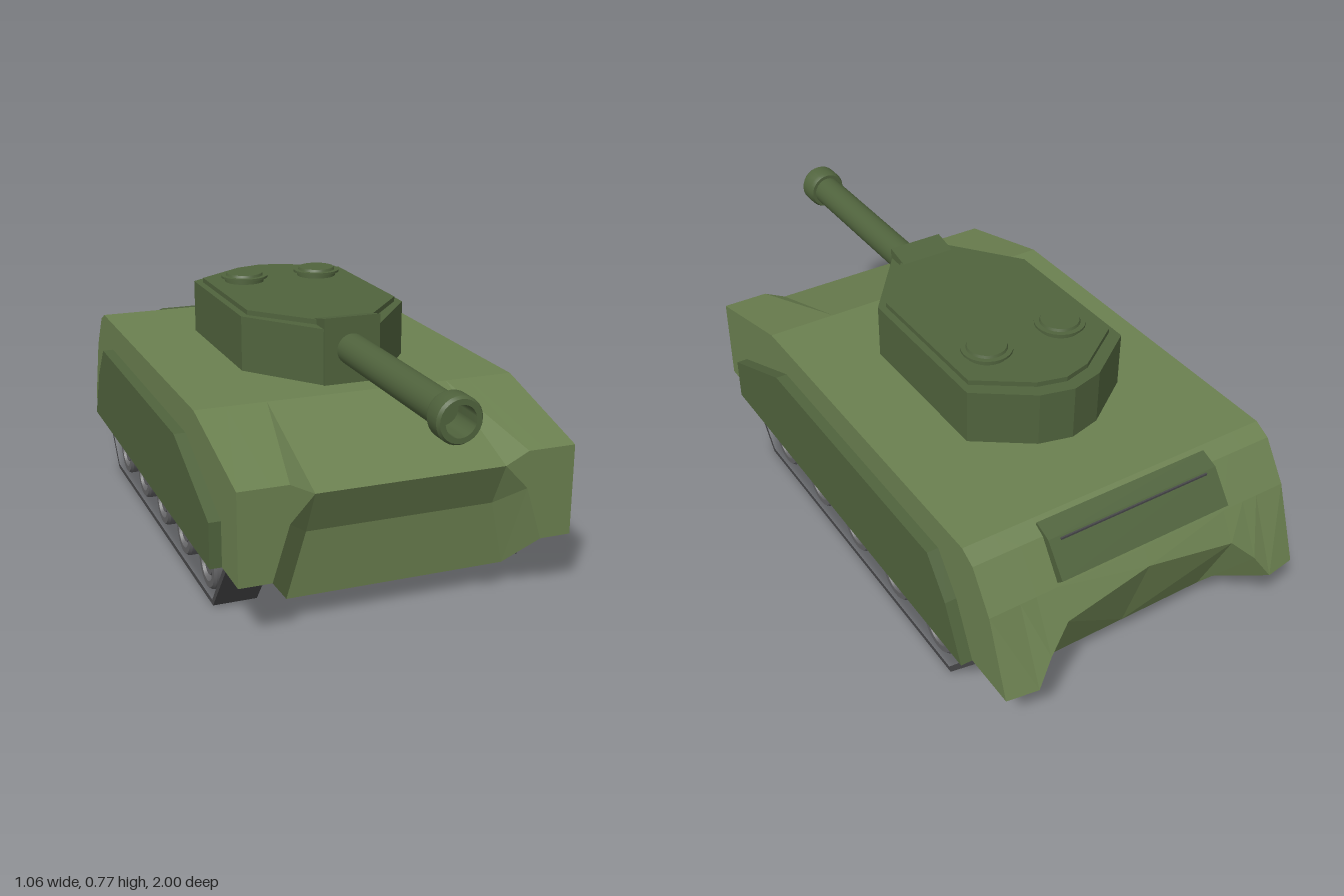
import * as THREE from 'three';
import { toCreasedNormals } from 'three/addons/utils/BufferGeometryUtils.js';

const mat = (color) => new THREE.MeshStandardMaterial({ color });
const hullMat = mat(0x6b8050);
hullMat.flatShading = true;
const armourMat = mat(0x50633d);
const trackMat = mat(0x48484a);
const wheelMat = mat(0x626264);

const shapeOf = (pts) => new THREE.Shape(pts.map((p) => new THREE.Vector2(p[0], p[1])));
const mirrored = (pts) => [...pts, ...pts.filter((p) => p[0] > 0).reverse().map(([x, z]) => [-x, z])];

// Side outline of [z, y] points, extruded across x from x0 to x1
function sideSlab(pts, x0, x1, hole) {
  const s = shapeOf(pts);
  if (hole) s.holes.push(shapeOf(hole));
  const g = new THREE.ExtrudeGeometry(s, { depth: x1 - x0, bevelEnabled: false });
  return g.rotateY(-Math.PI / 2).translate(x1, 0, 0);
}

// Plan outline of [x, z] points, extruded upward from y0 to y1
function planSlab(pts, y0, y1) {
  const g = new THREE.ExtrudeGeometry(shapeOf(pts.map(([x, z]) => [x, -z])), { depth: y1 - y0, bevelEnabled: false });
  return g.rotateX(-Math.PI / 2).translate(0, y0, 0);
}

const lathe = (pts, n = 28) =>
  toCreasedNormals(new THREE.LatheGeometry(pts.map((p) => new THREE.Vector2(p[0], p[1])), n), 0.5);

// Hull skin: rings of [z, y] lofted across x, mirrored about the middle
function hullGeometry() {
  const rear = [[-0.9, 0.41], [-0.82, 0.525], [-0.77, 0.55]];
  const half = [
    { x: 0, belly: 0, ring: [[0.36, 0.55], [0.74, 0.415], [0.67, 0.28], [0.65, 0.08], [-0.84, 0.08], [-0.93, 0.365], ...rear] },
    { x: 0.28, belly: 0.28, ring: [[0.36, 0.55], [0.74, 0.415], [0.67, 0.28], [0.65, 0.08], [-0.84, 0.08], [-0.95, 0.325], ...rear] },
    { x: 0.35, belly: 0.33, ring: [[0.36, 0.55], [0.74, 0.45], [0.74, 0.34], [0.65, 0.08], [-0.84, 0.08], [-0.978, 0.255], ...rear] },
    { x: 0.4, belly: 0.4, ring: [[0.36, 0.55], [0.74, 0.45], [0.74, 0.18], [0.74, 0.18], [-1, 0.18], [-1, 0.18], ...rear] },
    { x: 0.495, belly: 0.495, ring: [[0.36, 0.55], [0.74, 0.45], [0.74, 0.18], [0.74, 0.18], [-0.985, 0.18], [-0.985, 0.18], ...rear] },
  ];
  const flip = half.slice(1).reverse().map((c) => ({ ...c, x: -c.x, belly: -c.belly }));
  const cols = [...flip, ...half];
  const n = half[0].ring.length;
  const pos = [];
  const idx = [];
  for (const c of cols) c.ring.forEach(([z, y], j) => pos.push(j === 3 || j === 4 ? c.belly : c.x, y, z));
  for (let i = 0; i < cols.length - 1; i++) {
    for (let j = 0; j < n; j++) {
      const k = (j + 1) % n;
      const a = i * n + j, d = i * n + k, b = a + n, c = d + n;
      if (i >= 4) idx.push(a, d, c, a, c, b);
      else idx.push(a, d, b, d, c, b);
    }
  }
  // Side walls
  const last = (cols.length - 1) * n;
  for (let j = 1; j < n - 1; j++) {
    idx.push(last, last + j, last + j + 1);
    idx.push(0, j + 1, j);
  }
  const g = new THREE.BufferGeometry();
  g.setAttribute('position', new THREE.Float32BufferAttribute(pos, 3));
  g.setIndex(idx);
  const flat = g.toNonIndexed();
  flat.computeVertexNormals();
  return flat;
}

export function createModel() {
  const model = new THREE.Group();
  const add = (name, geo, material, parent = model) => {
    const m = new THREE.Mesh(geo, material);
    m.name = name;
    parent.add(m);
    return m;
  };

  add('hull', hullGeometry(), hullMat);

  // Engine cover on the rear slope, with a thin seam
  add('engineCover', sideSlab([[-0.785, 0.53], [-0.79, 0.55], [-0.845, 0.53], [-0.915, 0.44], [-0.885, 0.41], [-0.82, 0.46]], -0.28, 0.28), armourMat);
  const seam = add('engineCoverSeam', new THREE.BoxGeometry(0.49, 0.006, 0.006), trackMat);
  seam.position.set(0, 0.523, -0.85);

  // Running gear, one set per side
  const skirt = [[0.6, 0.18], [0.6, 0.315], [0.27, 0.455], [-0.65, 0.455], [-0.74, 0.345], [-0.82, 0.18]];
  const trackOuter = [[0.62, 0.19], [0.47, 0.003], [-0.69, 0.003], [-0.845, 0.19]];
  const trackInner = [[0.59, 0.182], [0.463, 0.018], [-0.683, 0.018], [-0.815, 0.182]];
  const wheelGeo = lathe([
    [0, -0.05], [0.038, -0.05], [0.042, -0.04], [0.052, -0.04], [0.056, -0.055], [0.074, -0.055], [0.08, -0.047],
    [0.08, 0.047], [0.074, 0.055], [0.056, 0.055], [0.052, 0.04], [0.042, 0.04], [0.038, 0.05], [0, 0.05],
  ]).rotateZ(-Math.PI / 2);
  for (const [side, s] of [['left', 1], ['right', -1]]) {
    const gear = new THREE.Group();
    gear.name = side + 'RunningGear';
    model.add(gear);
    const span = (a, b) => (s > 0 ? [a, b] : [-b, -a]);
    add(side + 'Skirt', sideSlab(skirt, ...span(0.48, 0.53)), armourMat, gear);
    add(side + 'Track', sideSlab(trackOuter, ...span(0.355, 0.485), trackInner), trackMat, gear);
    for (let i = 0; i < 5; i++) {
      const w = add(side + 'Wheel' + (i + 1), wheelGeo, wheelMat, gear);
      w.position.set(s * 0.42, 0.097, 0.38 - i * 0.246);
    }
  }

  // Turret
  const turret = new THREE.Group();
  turret.name = 'turret';
  model.add(turret);
  const plan = mirrored([[0, -0.56], [0.1, -0.535], [0.262, -0.42], [0.262, 0.08], [0.087, 0.305]]);
  const roof = mirrored([[0, -0.52], [0.085, -0.498], [0.24, -0.39], [0.24, 0.07], [0.085, 0.25]]);
  const base = plan.map(([x, z]) => [x * 0.83, (z + 0.13) * 0.83 - 0.13]);
  add('turretRing', planSlab(base, 0.54, 0.565), armourMat, turret);
  add('turretBody', planSlab(plan, 0.56, 0.728), armourMat, turret);
  add('turretRoof', planSlab(roof, 0.72, 0.743), armourMat, turret);
  add('mantlet', sideSlab([[0.31, 0.56], [0.31, 0.76], [0.23, 0.743], [0.23, 0.56]], -0.087, 0.087), armourMat, turret);

  // Roof hatches
  const hatchGeo = lathe([[0.063, 0], [0.063, 0.015], [0.075, 0.015], [0.075, 0.022], [0.06, 0.022], [0.057, 0.03], [0, 0.03]]);
  for (const s of [1, -1]) {
    const h = add(s > 0 ? 'leftHatch' : 'rightHatch', hatchGeo, armourMat, turret);
    h.position.set(s * 0.125, 0.741, -0.305);
  }

  // Gun barrel with a hollow muzzle
  const gun = add('gunBarrel', lathe([
    [0.047, 0.3], [0.047, 0.925], [0.058, 0.925], [0.064, 0.94], [0.064, 0.99], [0.058, 1], [0.043, 1], [0.043, 0.9], [0, 0.9],
  ]).rotateX(Math.PI / 2), armourMat, turret);
  gun.position.y = 0.662;

  return model;
}
